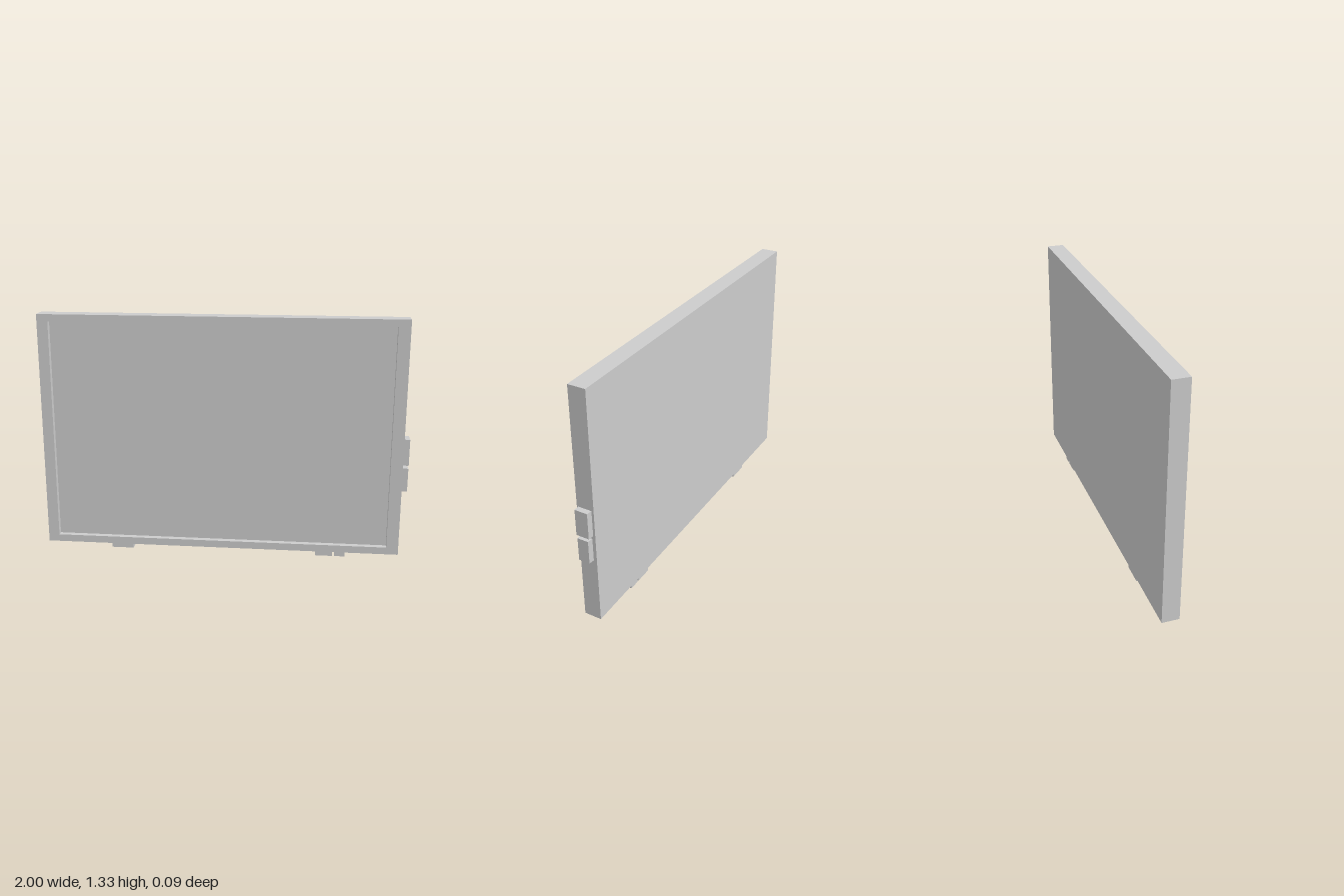
import * as THREE from 'three';

const material = new THREE.MeshStandardMaterial({ color: 0xcccccc, flatShading: true });

// Box given by its minimum and maximum along each axis
function block(name, [x0, x1], [y0, y1], [z0, z1]) {
  const geometry = new THREE.BoxGeometry(x1 - x0, y1 - y0, z1 - z0);
  geometry.translate((x0 + x1) / 2, (y0 + y1) / 2, (z0 + z1) / 2);
  const mesh = new THREE.Mesh(geometry, material);
  mesh.name = name;
  return mesh;
}

// Closed rectangular outline
function rectangle(Type, x0, x1, y0, y1) {
  const path = new Type();
  path.moveTo(x0, y0);
  path.lineTo(x1, y0);
  path.lineTo(x1, y1);
  path.lineTo(x0, y1);
  path.closePath();
  return path;
}

export function createModel() {
  const model = new THREE.Group();
  model.name = 'framedPanel';
  const back = -0.047, front = 0.047, panelFront = 0.016;

  // Raised rim around the recessed panel
  const outline = rectangle(THREE.Shape, -1, 0.97, 0.025, 1.325);
  outline.holes.push(rectangle(THREE.Path, -0.94, 0.905, 0.065, 1.287));
  const rimGeometry = new THREE.ExtrudeGeometry(outline, { depth: front - back, bevelEnabled: false });
  rimGeometry.translate(0, 0, back);
  const rim = new THREE.Mesh(rimGeometry, material);
  rim.name = 'rim';
  model.add(rim);

  // Panel set back inside the rim, flush with the rear
  model.add(block('panel', [-0.94, 0.905], [0.065, 1.287], [back, panelFront]));

  // Side blocks, their rear faces tapering slightly outwards
  const sideBlocks = [
    ['upperSideBlock', [0.54, 0.685], [-0.035, 0.039]],
    ['lowerSideBlock', [0.393, 0.522], [-0.029, 0.035]],
  ];
  for (const [name, y, z] of sideBlocks) {
    const mesh = block(name, [0.97, 1], y, z);
    const position = mesh.geometry.attributes.position;
    for (let i = 0; i < position.count; i++) {
      if (position.getX(i) > 0.99 && position.getZ(i) < 0) position.setZ(i, z[0] + 0.004);
    }
    mesh.geometry.computeVertexNormals();
    model.add(mesh);
  }

  // Feet under the bottom edge
  for (const [name, x] of [
    ['rightFoot', [-0.635, -0.512]],
    ['leftFoot', [0.517, 0.611]],
    ['smallLeftFoot', [0.622, 0.68]],
  ]) model.add(block(name, x, [0, 0.025], [-0.042, 0.043]));

  return model;
}
